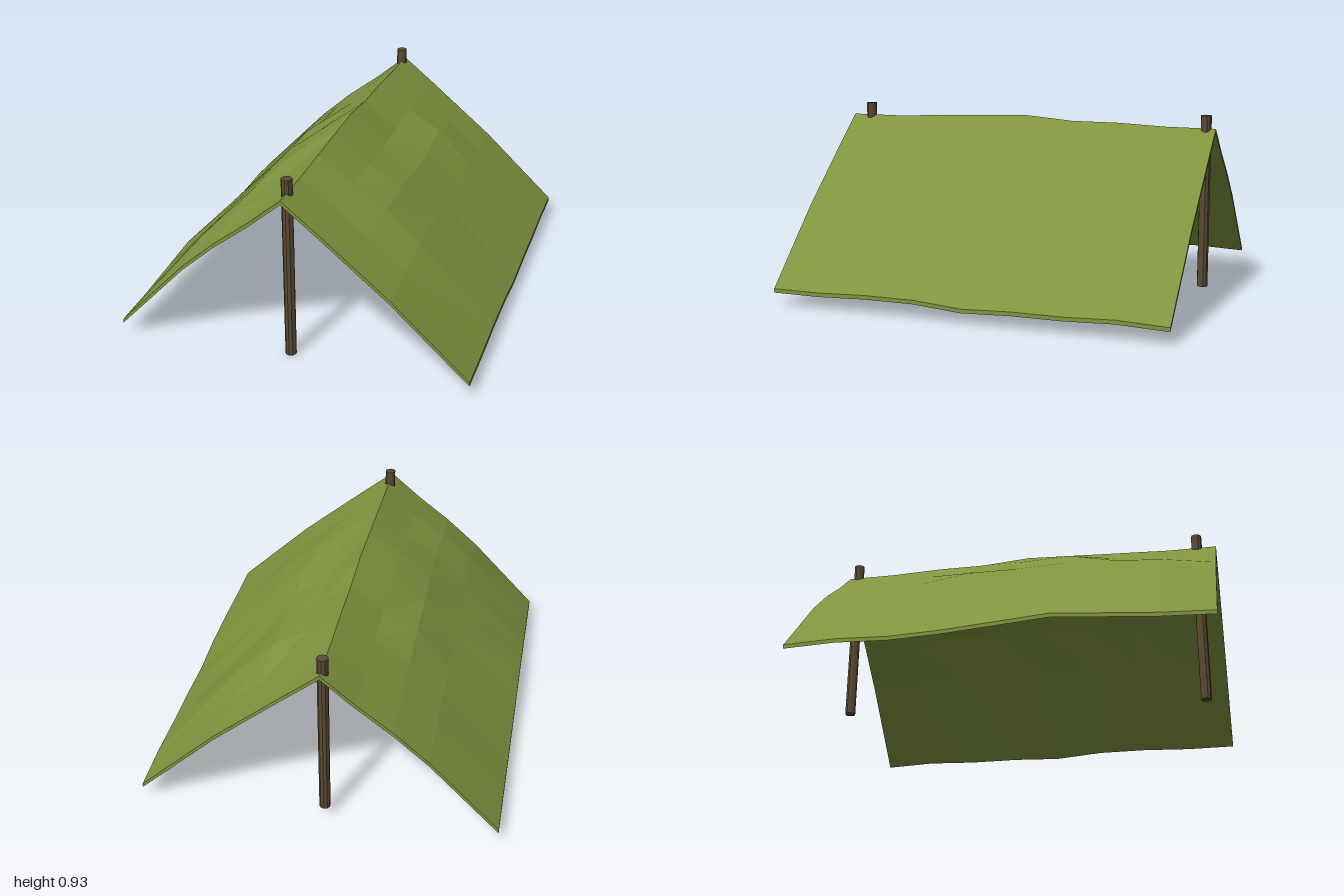
import * as THREE from 'three';

// Cross-section of the canopy: column positions and their resting heights
const COLS = [-0.87, -0.53, -0.36, -0.19, -0.025, 0.15, 0.32, 0.49, 0.87];
const PROFILE = [0.085, 0.44, 0.59, 0.72, 0.86, 0.72, 0.58, 0.44, 0.085];
// Wrinkles in hundredths, one row per step from back to front
const WRINKLES = [
  [0, 0, 0, 0, 0, 0, 0, 0, 0],
  [1, 1, 1, 1, 0, 1, 1, 1, 1],
  [0, 1, 2, 2, 1, 2, 6, 4, 0],
  [1, 2, 6, 3, 1, 1, 4, 1, 0],
  [3, 3, 6, 6, 3, 1, 3, 2, -1],
  [5, 3, 7, 7, 2, 2, 6, 4, 1],
  [3, 4, 6, 3, 1, 3, 5, 4, 1],
  [1, 5, 4, 2, 0, 1, 1, 1, 0],
  [0, 0, 0, 0, 0, 0, 0, 0, 0],
];
const THICKNESS = 0.02;

// Thin subdivided slab draped over the ridge
function makeCanopy(material) {
  const geo = new THREE.BoxGeometry(8, 1, 8, 8, 1, 8);
  const p = geo.attributes.position;
  for (let i = 0; i < p.count; i++) {
    const col = Math.round(p.getX(i) + 4);
    const row = Math.round(p.getZ(i) + 4);
    const top = PROFILE[col] + WRINKLES[row][col] / 100;
    p.setXYZ(i, COLS[col], p.getY(i) > 0 ? top : top - THICKNESS, (row - 4) / 4);
  }
  geo.computeVertexNormals();
  const mesh = new THREE.Mesh(geo, material);
  mesh.name = 'canopy';
  return mesh;
}

// Upright pole between two heights
function makePole(name, z, bottom, top, material) {
  const geo = new THREE.CylinderGeometry(0.027, 0.027, top - bottom, 10);
  const mesh = new THREE.Mesh(geo, material);
  mesh.name = name;
  mesh.position.set(-0.03, (top + bottom) / 2, z);
  return mesh;
}

export function createModel() {
  const cloth = new THREE.MeshStandardMaterial({ color: 0x80943f, flatShading: true });
  const wood = new THREE.MeshStandardMaterial({ color: 0x5c4a34, flatShading: true });
  const group = new THREE.Group();
  group.name = 'tarpShelter';
  group.add(
    makeCanopy(cloth),
    makePole('frontPole', 0.9, 0, 0.925, wood),
    makePole('backPole', -0.95, 0.055, 0.925, wood),
  );
  return group;
}
